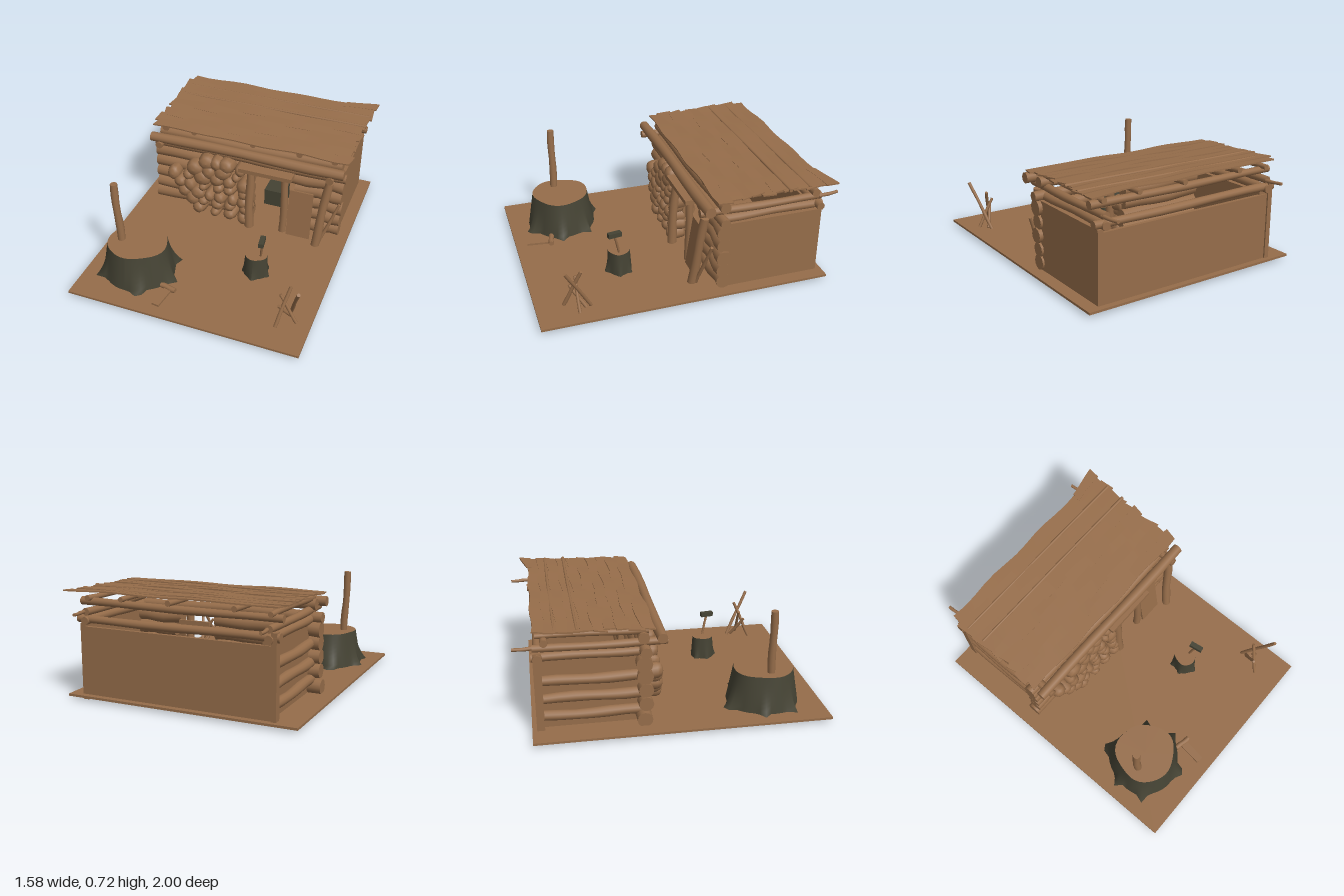
import * as THREE from 'three';

export function createModel() {
  const model = new THREE.Group();
  model.name = 'woodcutterHut';
  const wood = new THREE.MeshStandardMaterial({ color: 0x966d4a });
  wood.name = 'wood';
  const bark = new THREE.MeshStandardMaterial({ color: 0x454334 });
  bark.name = 'darkBark';

  let seed = 7;
  const rand = () => {
    seed = (seed * 16807) % 2147483647;
    return seed / 2147483647;
  };
  const vary = (amount) => (rand() - 0.5) * 2 * amount;
  const V = (p) => new THREE.Vector3(...p);

  function add(name, geometry, material = wood, parent = model) {
    const mesh = new THREE.Mesh(geometry, material);
    mesh.name = name;
    parent.add(mesh);
    return mesh;
  }
  function group(name) {
    const g = new THREE.Group();
    g.name = name;
    model.add(g);
    return g;
  }
  // Box given by its low and high corners
  function box(name, lo, hi, material = wood, parent = model) {
    const mesh = add(name, new THREE.BoxGeometry(hi[0] - lo[0], hi[1] - lo[1], hi[2] - lo[2]), material, parent);
    mesh.position.set((lo[0] + hi[0]) / 2, (lo[1] + hi[1]) / 2, (lo[2] + hi[2]) / 2);
    return mesh;
  }
  // Slightly crooked round log from a to b
  function log(name, a, b, r0, r1 = r0, parent = model, bend = 0.12) {
    const start = V(a), end = V(b), length = start.distanceTo(end);
    const g = new THREE.CylinderGeometry(r1, r0, length, 12, 6);
    const pos = g.attributes.position;
    const phase = rand() * 6;
    for (let i = 0; i < pos.count; i++) {
      const t = pos.getY(i) / length;
      const swell = 1 + 0.06 * Math.sin(t * 11 + phase);
      pos.setX(i, pos.getX(i) * swell + r0 * bend * Math.sin(t * 7 + phase));
      pos.setZ(i, pos.getZ(i) * swell + r0 * bend * Math.cos(t * 6 + phase));
    }
    const mesh = add(name, g, wood, parent);
    mesh.position.copy(start).add(end).multiplyScalar(0.5);
    mesh.quaternion.setFromUnitVectors(new THREE.Vector3(0, 1, 0), end.sub(start).normalize());
    return mesh;
  }

  // Ground and plain walls
  box('ground', [-0.79, 0.02, -0.91], [0.785, 0.035, 1]);
  box('leftWall', [0.66, 0, -0.87], [0.7, 0.5, -0.22]);
  box('rightWall', [-0.6, 0.012, -0.86], [-0.55, 0.5, -0.22]);
  box('backWall', [-0.62, 0.03, -0.87], [0.68, 0.48, -0.845]);

  // Front wall logs, broken by the doorway
  const front = group('frontWall');
  [0.08, 0.175, 0.27, 0.36, 0.45].forEach((y) => {
    log('frontLogRight', [-0.68 + vary(0.01), y, -0.2], [0.07, y, -0.2], 0.05, 0.046, front);
    log('frontLogLeft', [y > 0.4 ? 0.33 : 0.38, y, -0.2], [0.72 + vary(0.015), y, -0.2], 0.046, 0.05, front);
  });
  log('frontLogTop', [-0.68, 0.53, -0.19], [0.735, 0.525, -0.19], 0.037, 0.035, front);
  log('eaveLog', [-0.67, 0.62, -0.09], [0.735, 0.625, -0.09], 0.034, 0.037, front);
  log('plateLog', [-0.64, 0.61, -0.2], [0.7, 0.61, -0.2], 0.035, 0.035, front);

  // Side logs and top rails that run past the back
  const sides = group('sideLogs');
  [0.12, 0.24, 0.36].forEach((y) => log('rightSideLog', [-0.61, y, -0.22], [-0.61, y, -0.84], 0.036, 0.032, sides));
  [-0.6, 0.65].forEach((x) => {
    log('sideRail', [x, 0.575, -0.05], [x, 0.575, -0.88], 0.027, 0.024, sides);
    log('railTip', [x + 0.015, 0.575, -0.86], [x, 0.578, -1], 0.013, 0.01, sides);
    log('lowerRail', [x, 0.52, -0.2], [x, 0.52, -0.89], 0.03, 0.028, sides);
    log('endRafter', [x, 0.655, -0.17], [x, 0.66, -0.86], 0.025, 0.018, sides);
  });
  box('cornerPost', [-0.645, 0.03, -0.88], [-0.61, 0.56, -0.83], wood, sides);
  log('backLowLog', [-0.66, 0.525, -0.85], [0.72, 0.525, -0.85], 0.028, 0.026, sides);
  log('backHighLog', [-0.66, 0.628, -0.81], [0.72, 0.632, -0.81], 0.024, 0.026, sides);

  // Rafters and overlapping rough roof boards
  const roof = group('roof');
  [-0.37, 0.07, 0.4].forEach((x) => log('rafter', [x, 0.665, -0.16], [x, 0.67, -0.86], 0.022, 0.018, roof));
  function board(name, z, width, x0, x1, y) {
    const g = new THREE.BoxGeometry(x1 - x0, 0.009, width, 14, 1, 1);
    const pos = g.attributes.position;
    const phase = rand() * 6;
    for (let i = 0; i < pos.count; i++) {
      const x = pos.getX(i), side = Math.sign(pos.getZ(i));
      pos.setY(i, pos.getY(i) + 0.003 * Math.sin(x * 9 + phase));
      pos.setZ(i, pos.getZ(i) + 0.007 * Math.sin(x * 13 + phase + side));
      if (Math.abs(x) > (x1 - x0) * 0.49) pos.setX(i, x + 0.012 * side * Math.sin(phase));
    }
    g.computeVertexNormals();
    const mesh = add(name, g, wood, roof);
    mesh.position.set((x0 + x1) / 2, y, z);
    mesh.rotation.x = 0.07;
    return mesh;
  }
  for (let i = 0; i < 10; i++) {
    const t = i / 9;
    board('roofBoard', -0.18 - 0.65 * t, 0.092, -0.67 + vary(0.02), 0.75 + vary(0.02), 0.689 + 0.015 * t);
  }
  [-0.745, -0.61].forEach((z) => log('roofBatten', [-0.65, 0.699, z], [0.755, 0.703, z], 0.009, 0.011, roof));
  const loose = board('looseBoard', -0.87, 0.07, 0.54, 0.775, 0.711);
  loose.rotation.y = 0.14;

  // Doorway
  const door = group('doorway');
  log('doorPost', [0.08, 0.03, -0.06], [0.08, 0.5, -0.09], 0.032, 0.028, door);
  log('doorPost', [0.325, 0.03, -0.1], [0.33, 0.5, -0.1], 0.027, 0.026, door);
  box('lintel', [0, 0.495, -0.13], [0.385, 0.525, -0.05], wood, door);
  box('doorHeader', [0.1, 0.38, -0.26], [0.33, 0.44, -0.24], wood, door);
  box('innerBlock', [0.1, 0.03, -0.5], [0.25, 0.165, -0.35], bark, door);
  const leaf = box('leaningDoor', [0.36, 0.03, -0.105], [0.53, 0.39, -0.09], wood, door);
  leaf.rotation.x = -0.14;
  log('leaningPost', [0.585, 0.03, -0.03], [0.64, 0.54, -0.09], 0.031, 0.028, door);
  log('leaningBranch', [0.6, 0.03, -0.05], [0.72, 0.36, -0.11], 0.013, 0.01, door);

  // Stacked firewood with rounded ends
  const pile = group('firewood');
  const profile = [[0, -0.5], [0.85, -0.5], [1, -0.3], [1, 0.2], [0.8, 0.4], [0.4, 0.49], [0, 0.52]]
    .map((p) => new THREE.Vector2(...p));
  const rows = [[-0.3, 0.03], [-0.36, 0.03], [-0.42, 0.03], [-0.47, 0.03], [-0.5, 0.02], [-0.36, -0.02], [-0.27, -0.02]];
  rows.forEach(([x0, x1], row) => {
    const count = Math.round((x1 - x0) / 0.098);
    for (let i = 0; i <= count; i++) {
      const piece = add('splitLog', new THREE.LatheGeometry(profile, 9), wood, pile);
      const r = 0.05 + vary(0.012);
      piece.scale.set(r * (1 + vary(0.2)), 0.13, r * (1 + vary(0.12)));
      piece.rotation.set(Math.PI / 2 + vary(0.1), vary(0.5), vary(0.15));
      piece.position.set(x0 + (x1 - x0) * i / count + vary(0.014), 0.085 + row * 0.064 + vary(0.01), -0.105 - row * 0.006);
    }
  });

  // Stump with root lobes flaring at the foot
  function stump(name, x, z, top, foot, height, lobes) {
    const g = group(name);
    const side = new THREE.CylinderGeometry(1, 1, height, 40, 8, true);
    const cap = new THREE.CircleGeometry(1, 40);
    const rim = (a) => top * (1 + 0.035 * Math.sin(a * 3 + 1) + 0.02 * Math.sin(a * 5));
    const pos = side.attributes.position;
    for (let i = 0; i < pos.count; i++) {
      const a = Math.atan2(pos.getZ(i), pos.getX(i));
      const down = 0.5 - pos.getY(i) / height;
      const root = Math.pow(Math.max(0, Math.sin(a * lobes + Math.sin(a * 2))), 3);
      const r = rim(a) + (foot - top) * down + foot * 0.24 * root * Math.pow(down, 3);
      pos.setX(i, r * Math.cos(a));
      pos.setZ(i, r * Math.sin(a));
    }
    side.computeVertexNormals();
    add('bark', side, bark, g).position.y = height / 2;
    cap.rotateX(-Math.PI / 2);
    const cp = cap.attributes.position;
    for (let i = 1; i < cp.count; i++) {
      const a = Math.atan2(cp.getZ(i), cp.getX(i));
      cp.setXYZ(i, rim(a) * Math.cos(a), 0, rim(a) * Math.sin(a));
    }
    add('cutTop', cap, wood, g).position.y = height;
    g.position.set(x, 0.033, z);
  }
  stump('largeStump', -0.45, 0.62, 0.197, 0.24, 0.242, 6);
  stump('smallStump', 0.295, 0.38, 0.073, 0.083, 0.157, 5);

  // Tall handle in the large stump
  log('tallHandle', [-0.56, 0.26, 0.645], [-0.582, 0.71, 0.636], 0.026, 0.024);
  // Hatchet in the small stump
  log('hatchetHandle', [0.328, 0.18, 0.385], [0.346, 0.33, 0.42], 0.008, 0.009);
  const head = box('hatchetHead', [0.328, 0.323, 0.375], [0.362, 0.355, 0.465], bark);
  head.rotation.y = 0.15;

  // Loose chips and crossed sticks
  const bits = group('looseSticks');
  box('chip', [-0.215, 0.035, 0.75], [-0.165, 0.05, 0.92], wood, bits).rotation.y = -0.12;
  log('shortStick', [-0.24, 0.05, 0.74], [-0.13, 0.05, 0.76], 0.018, 0.018, bits);
  log('stick', [0.63, 0.035, 0.655], [0.715, 0.36, 0.825], 0.012, 0.011, bits);
  log('stick', [0.575, 0.035, 0.82], [0.635, 0.3, 0.71], 0.012, 0.011, bits);
  log('stick', [0.69, 0.035, 0.74], [0.58, 0.24, 0.74], 0.011, 0.01, bits);
  log('stick', [0.64, 0.035, 0.69], [0.58, 0.18, 0.78], 0.012, 0.01, bits);
  return model;
}
